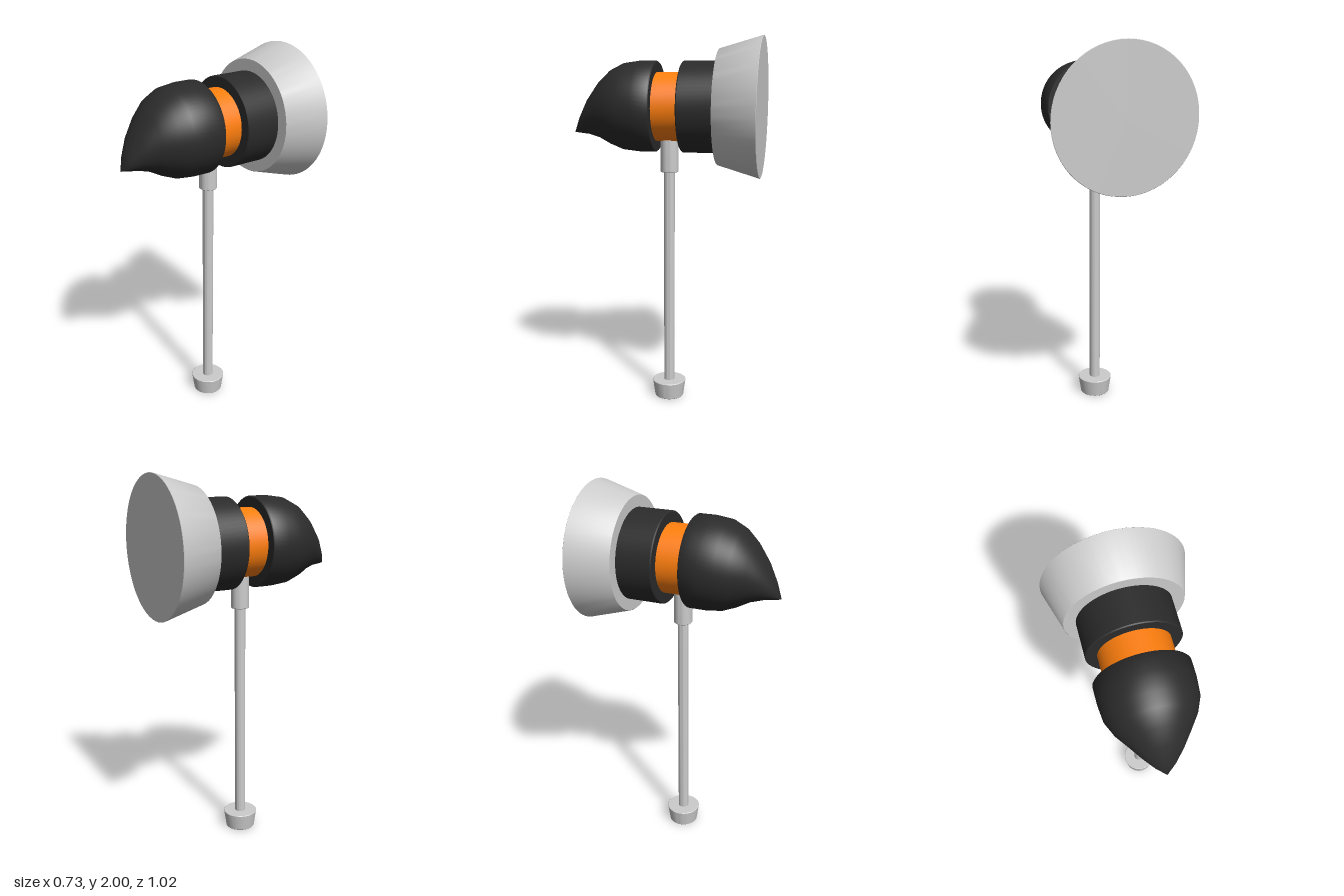
import * as THREE from 'three';
import { toCreasedNormals } from 'three/addons/utils/BufferGeometryUtils.js';

const AXIS_Y = 1.635; // height of the horizontal head axis
const POST_Z = -0.018;
const SEGMENTS = 64;

// Solid of revolution; profile is [radius, height] from bottom to top
function turned(profile) {
  const points = profile.map(([r, h]) => new THREE.Vector2(r, h));
  return toCreasedNormals(new THREE.LatheGeometry(points, SEGMENTS), 0.6);
}

// Truncated cone with small bevels, from h0 to h1
function bevelled(r0, r1, h0, h1, b) {
  return turned([[0, h0], [r0 - b, h0], [r0, h0 + b], [r1, h1 - b], [r1 - b, h1], [0, h1]]);
}

// Pointed cap lofted from ellipses: [z, top y, bottom y, half width]
function beakGeometry() {
  const sections = [
    [0.047, 1.869, 1.401, 0.234],
    [0.053, 1.874, 1.396, 0.239],
    [0.14, 1.874, 1.396, 0.239],
    [0.225, 1.862, 1.405, 0.231],
    [0.295, 1.827, 1.432, 0.2],
    [0.36, 1.766, 1.466, 0.152],
    [0.425, 1.677, 1.484, 0.1],
    [0.475, 1.58, 1.489, 0.049],
    [0.509, 1.495, 1.493, 0.001],
  ];
  const positions = [], indices = [];
  for (const [z, top, bottom, w] of sections) {
    for (let i = 0; i < SEGMENTS; i++) {
      const a = (i / SEGMENTS) * Math.PI * 2;
      positions.push(Math.cos(a) * w, (top + bottom) / 2 + Math.sin(a) * (top - bottom) / 2, z);
    }
  }
  for (let s = 0; s < sections.length - 1; s++) {
    for (let i = 0; i < SEGMENTS; i++) {
      const j = (i + 1) % SEGMENTS;
      const a = s * SEGMENTS + i, b = s * SEGMENTS + j;
      indices.push(a, b, b + SEGMENTS, a, b + SEGMENTS, a + SEGMENTS);
    }
  }
  // flat rear face and tiny closed tip
  const last = (sections.length - 1) * SEGMENTS;
  for (let i = 1; i < SEGMENTS - 1; i++) {
    indices.push(0, i + 1, i, last, last + i, last + i + 1);
  }
  const geometry = new THREE.BufferGeometry();
  geometry.setAttribute('position', new THREE.Float32BufferAttribute(positions, 3));
  geometry.setIndex(indices);
  return toCreasedNormals(geometry, 0.7);
}

export function createModel() {
  const model = new THREE.Group();
  const grey = new THREE.MeshStandardMaterial({ color: 0xcccccc });
  const black = new THREE.MeshStandardMaterial({ color: 0x2b2b2b });
  const orange = new THREE.MeshStandardMaterial({ color: 0xff7f0e });

  function add(parent, name, geometry, material) {
    const mesh = new THREE.Mesh(geometry, material);
    mesh.name = name;
    parent.add(mesh);
    return mesh;
  }

  // Head: parts turned around the front-to-back axis
  const head = new THREE.Group();
  head.name = 'head';
  model.add(head);
  const onAxis = (geometry) => geometry.rotateX(Math.PI / 2).translate(0, AXIS_Y, 0);
  add(head, 'flaredBell', onAxis(bevelled(0.366, 0.302, -0.509, -0.284, 0.002)), grey);
  add(head, 'rearCollar', onAxis(bevelled(0.239, 0.239, -0.29, -0.093, 0.005)), black);
  add(head, 'centreBand', onAxis(bevelled(0.181, 0.181, -0.1, 0.055, 0.002)), orange);
  add(head, 'beak', beakGeometry(), black);

  // Stand: foot, rod and socket around the vertical post
  const stand = new THREE.Group();
  stand.name = 'stand';
  stand.position.z = POST_Z;
  model.add(stand);
  add(stand, 'foot', bevelled(0.08, 0.093, 0, 0.095, 0.003), grey);
  add(stand, 'rod', bevelled(0.029, 0.029, 0.08, 1.32, 0.001), grey);
  add(stand, 'socket', bevelled(0.048, 0.048, 1.288, 1.462, 0.003), grey);

  return model;
}
